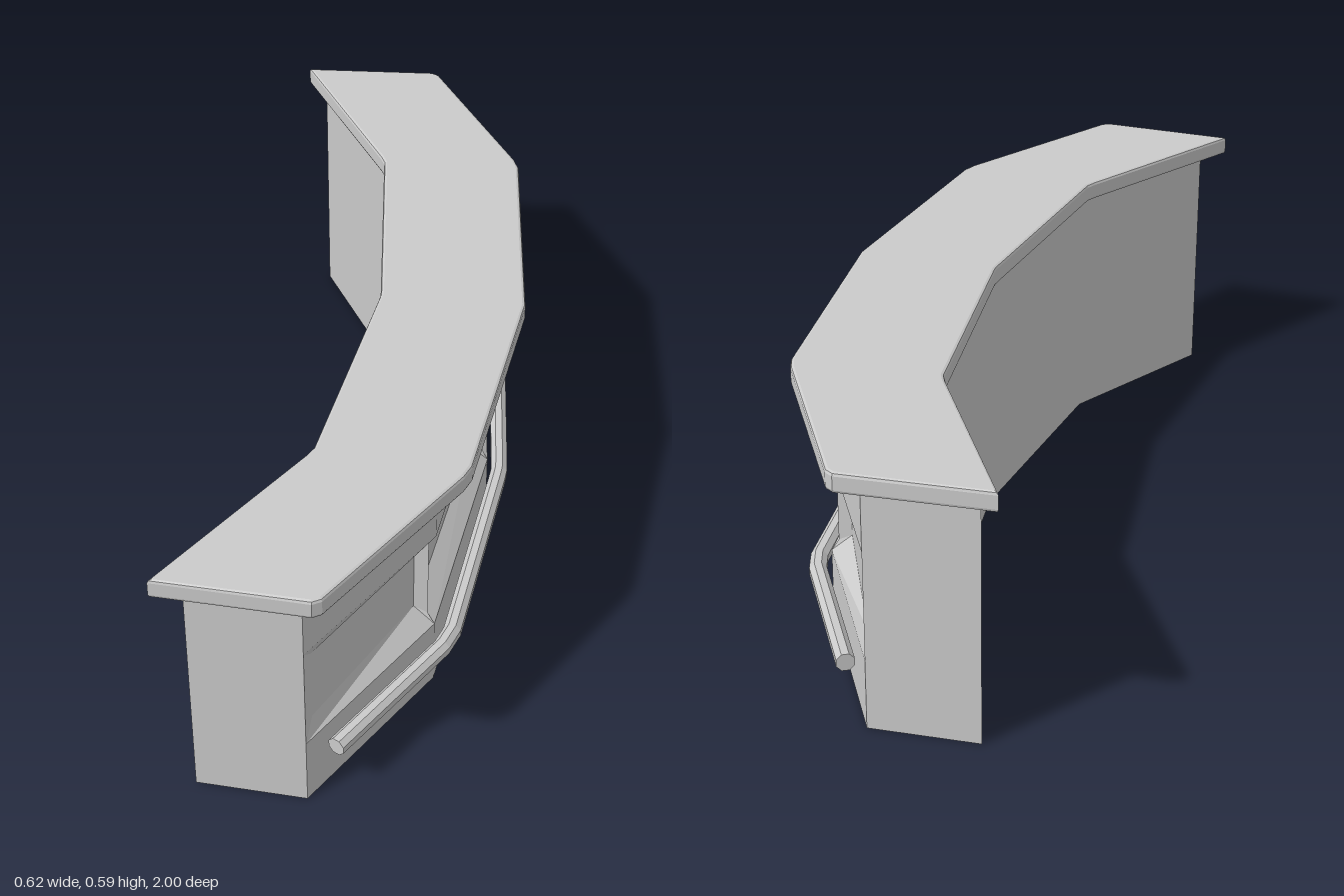
import * as THREE from 'three';

const material = () => new THREE.MeshStandardMaterial({ color: 0xcccccc, flatShading: true });

// Completes a half plan (z from + to 0) with its mirror image in z
const mirrorPlan = (half) => [...half, ...half.slice(0, -1).reverse().map(([x, z]) => [x, -z])];

// Collects flat polygons, corners counter-clockwise from outside
function faceBuilder() {
  const pos = [];
  return {
    face(...p) {
      for (let i = 1; i < p.length - 1; i++) pos.push(...p[0], ...p[i], ...p[i + 1]);
    },
    mesh(name) {
      const g = new THREE.BufferGeometry();
      g.setAttribute('position', new THREE.Float32BufferAttribute(pos, 3));
      g.computeVertexNormals();
      const m = new THREE.Mesh(g, material());
      m.name = name;
      return m;
    },
  };
}

const at = ([x, z], y) => [x, y, z];

// Counter body: four angled segments, each with a bevelled recess on the outer side
function makeBody() {
  const H = 0.56;
  const outer = mirrorPlan([[-0.032, 0.935], [0.18, 0.56], [0.24, 0]]);
  const inner = mirrorPlan([[-0.262, 0.92], [-0.055, 0.55], [0.01, 0]]);
  const ridge = mirrorPlan([[-0.032, 0.935], [0.165, 0.555], [0.228, 0]]);
  const halfFloors = [
    [[-0.025, 0.895], [0.135, 0.554]],
    [[0.139, 0.538], [0.199, 0.006]],
  ];
  const flip = ([x, z]) => [x, -z];
  const floors = [...halfFloors, ...halfFloors.slice().reverse().map(([a, b]) => [flip(b), flip(a)])];
  const lo = { edge: 0.155, ridge: 0.18, floor: 0.195 };
  const hi = { edge: 0.395, ridge: 0.372, floor: 0.362 };
  const ridgeY = (i, l) => (i === 0 || i === 4 ? l.edge : l.ridge);
  const b = faceBuilder();
  const wall = (p, q, y0, y1) => b.face(at(p, y0), at(q, y0), at(q, y1), at(p, y1));

  for (let i = 0; i < 4; i++) {
    const A = outer[i], B = outer[i + 1], RA = ridge[i], RB = ridge[i + 1];
    const [FA, FB] = floors[i];
    // plain wall bands and recessed panel
    wall(A, B, 0, lo.edge);
    wall(A, B, hi.edge, H);
    wall(FA, FB, lo.floor, hi.floor);
    // sloped bevels above and below the panel
    b.face(at(A, lo.edge), at(B, lo.edge), at(FB, lo.floor), at(FA, lo.floor));
    b.face(at(FA, hi.floor), at(FB, hi.floor), at(B, hi.edge), at(A, hi.edge));
    // side bevels meeting in the ridge between panels
    const la = ridgeY(i, lo), ha = ridgeY(i, hi), lb = ridgeY(i + 1, lo), hb = ridgeY(i + 1, hi);
    b.face(at(RA, la), at(FA, lo.floor), at(FA, hi.floor), at(RA, ha));
    b.face(at(FB, lo.floor), at(RB, lb), at(RB, hb), at(FB, hi.floor));
    // corner triangles next to the inner ridges
    if (i > 0) {
      b.face(at(A, lo.edge), at(FA, lo.floor), at(RA, la));
      b.face(at(A, hi.edge), at(RA, ha), at(FA, hi.floor));
    }
    if (i < 3) {
      b.face(at(B, lo.edge), at(RB, lb), at(FB, lo.floor));
      b.face(at(B, hi.edge), at(FB, hi.floor), at(RB, hb));
    }
    // inner wall, top and underside
    wall(inner[i + 1], inner[i], 0, H);
    b.face(at(A, H), at(B, H), at(inner[i + 1], H), at(inner[i], H));
    b.face(at(A, 0), at(inner[i], 0), at(inner[i + 1], 0), at(B, 0));
  }
  // end walls
  wall(inner[0], outer[0], 0, H);
  wall(outer[4], inner[4], 0, H);
  return b.mesh('counterBody');
}

// Overhanging worktop with bevelled rim and clipped corners
function makeTop() {
  const outer = mirrorPlan([
    [-0.003, 0.998], [0.015, 0.987], [0.238, 0.6], [0.25, 0.567], [0.308, 0.02], [0.31, 0],
  ]);
  const inner = mirrorPlan([
    [-0.313, 0.978], [-0.079, 0.572], [-0.068, 0.548], [-0.007, 0.015], [-0.006, 0],
  ]).reverse();
  const shape = new THREE.Shape([...outer, ...inner].map(([x, z]) => new THREE.Vector2(x, z)));
  const bevel = 0.007;
  const g = new THREE.ExtrudeGeometry(shape, {
    depth: 0.043 - 2 * bevel, bevelThickness: bevel, bevelSize: bevel, bevelOffset: -bevel, bevelSegments: 2,
  });
  g.rotateX(-Math.PI / 2);
  g.translate(0, 0.548 + bevel, 0);
  const m = new THREE.Mesh(g, material());
  m.name = 'worktop';
  return m;
}

// Eight-sided foot rail mitred along the outer side
function makeRail() {
  const R = 0.02, Y = 0.119, N = 8;
  const path = mirrorPlan([[0.022, 0.9], [0.2, 0.59], [0.216, 0.54], [0.265, 0.03], [0.267, 0]]);
  const rings = path.map(([x, z], i) => {
    const p = path[Math.max(i - 1, 0)], q = path[Math.min(i + 1, path.length - 1)];
    const dx = q[0] - p[0], dz = q[1] - p[1], l = Math.hypot(dx, dz);
    return Array.from({ length: N }, (_, k) => {
      const a = ((k + 0.5) / N) * Math.PI * 2, c = Math.cos(a) * R;
      return [x - (dz / l) * c, Y + Math.sin(a) * R, z + (dx / l) * c];
    });
  });
  const b = faceBuilder();
  for (let i = 0; i < rings.length - 1; i++) {
    for (let k = 0; k < N; k++) {
      const n = (k + 1) % N;
      b.face(rings[i][k], rings[i + 1][k], rings[i + 1][n], rings[i][n]);
    }
  }
  b.face(...rings[0]);
  b.face(...rings[rings.length - 1].slice().reverse());
  return b.mesh('footRail');
}

export function createModel() {
  const group = new THREE.Group();
  group.name = 'curvedCounter';
  group.add(makeBody(), makeTop(), makeRail());
  return group;
}
